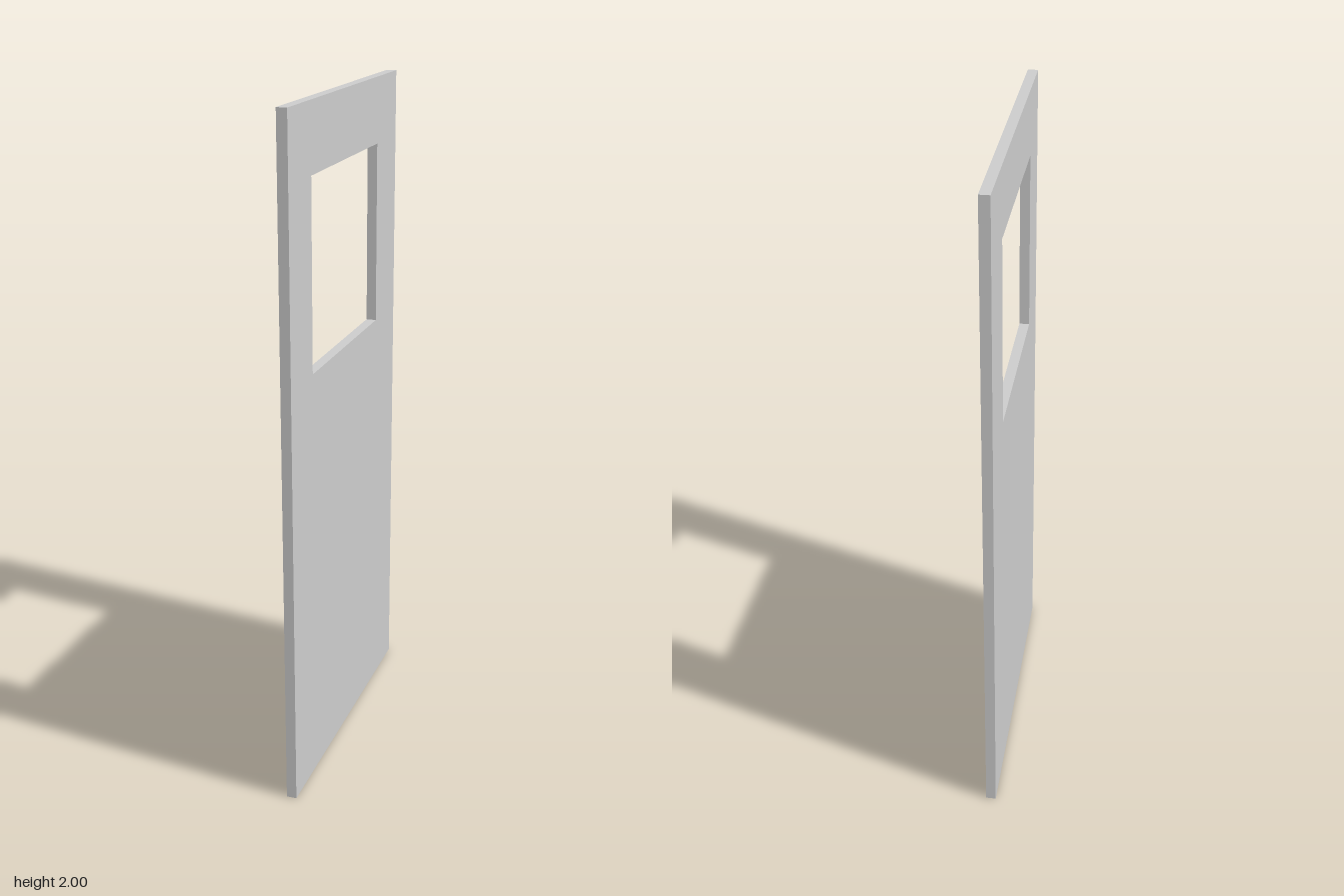
import * as THREE from 'three';

const HEIGHT = 2, WIDTH = 0.94, THICKNESS = 0.03;
const WINDOW = { z0: -0.28, z1: 0.3, y0: 1.26, y1: 1.805 };

// Traces a closed rectangle on a Shape or Path
function rectangle(path, x0, y0, x1, y1) {
  path.moveTo(x0, y0);
  path.lineTo(x1, y0);
  path.lineTo(x1, y1);
  path.lineTo(x0, y1);
  path.closePath();
  return path;
}

export function createModel() {
  const group = new THREE.Group();
  group.name = 'door';

  // Flat door leaf with a window opening cut through it
  const outline = rectangle(new THREE.Shape(), -WIDTH / 2, 0, WIDTH / 2, HEIGHT);
  outline.holes.push(rectangle(new THREE.Path(), WINDOW.z0, WINDOW.y0, WINDOW.z1, WINDOW.y1));
  const geometry = new THREE.ExtrudeGeometry(outline, { depth: THICKNESS, bevelEnabled: false });

  // Centre the thickness, then turn the leaf so its width runs along z
  geometry.translate(0, 0, -THICKNESS / 2);
  geometry.rotateY(-Math.PI / 2);

  const leaf = new THREE.Mesh(
    geometry,
    new THREE.MeshStandardMaterial({ color: 0xcccccc, flatShading: true })
  );
  leaf.name = 'doorLeaf';
  group.add(leaf);
  return group;
}
